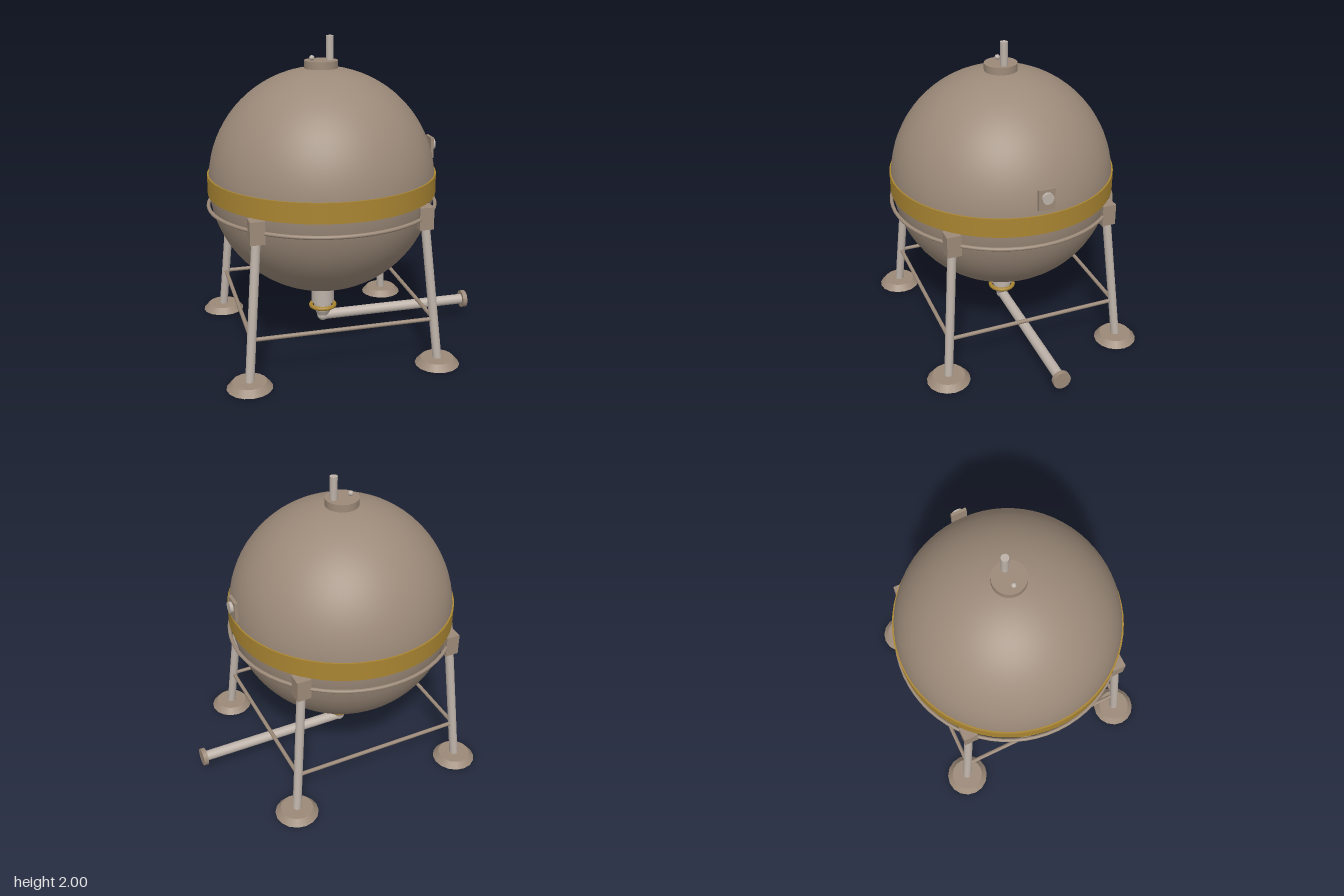
import * as THREE from 'three';

export function createModel() {
  const model = new THREE.Group();
  model.name = 'sphericalTank';

  const paint = (name, hex) => {
    const m = new THREE.MeshStandardMaterial({ color: hex });
    m.name = name;
    return m;
  };
  const shell = paint('warm grey shell', 0x9c8a79);
  const gold = paint('ochre trim', 0xa98532);
  const steel = paint('pale steel', 0xbdb2a9);

  const CX = -0.145; // tank axis

  const add = (name, geometry, material, x, y, z) => {
    const mesh = new THREE.Mesh(geometry, material);
    mesh.name = name;
    mesh.position.set(x, y, z);
    model.add(mesh);
    return mesh;
  };

  // Straight round bar between two points
  const bar = (name, a, b, radius, material, sides = 14) => {
    const dir = b.clone().sub(a);
    const geometry = new THREE.CylinderGeometry(radius, radius, dir.length(), sides);
    const mid = a.clone().add(b).multiplyScalar(0.5);
    const mesh = add(name, geometry, material, mid.x, mid.y, mid.z);
    mesh.quaternion.setFromUnitVectors(new THREE.Vector3(0, 1, 0), dir.normalize());
    return mesh;
  };
  const v = (x, y, z) => new THREE.Vector3(x, y, z);

  // Tank body, painted band and support ring
  add('tank', new THREE.SphereGeometry(0.72, 64, 40), shell, CX, 1.09, 0);
  add('band', new THREE.CylinderGeometry(0.728, 0.728, 0.125, 64), gold, CX, 1.088, 0);
  add('supportRing', new THREE.TorusGeometry(0.727, 0.012, 10, 64), shell, CX, 0.945, 0)
    .rotation.x = Math.PI / 2;

  // Four splayed legs with brackets and feet
  const corners = [[1, 1], [1, -1], [-1, -1], [-1, 1]];
  for (const [sx, sz] of corners) {
    const at = (d, y) => v(CX + sx * d, y, sz * d);
    add('bracket', new THREE.BoxGeometry(0.09, 0.14, 0.09), shell, CX + sx * 0.515, 0.95, sz * 0.515);
    bar('leg', at(0.515, 0.95), at(0.595, 0.03), 0.028, steel);
    add('foot', new THREE.CylinderGeometry(0.105, 0.14, 0.04, 16), shell, CX + sx * 0.595, 0.02, sz * 0.595);
  }

  // Cross braces joining neighbouring legs
  corners.forEach(([sx, sz], i) => {
    const [nx, nz] = corners[(i + 1) % 4];
    const d = 0.572;
    bar('crossBrace', v(CX + sx * d, 0.295, sz * d), v(CX + nx * d, 0.295, nz * d), 0.013, shell, 10);
  });

  // Bottom outlet: neck, gold collar, tapered elbow and drain pipe
  add('outletNeck', new THREE.CylinderGeometry(0.075, 0.075, 0.18, 28), steel, CX, 0.33, 0);
  add('outletSpigot', new THREE.CylinderGeometry(0.06, 0.06, 0.06, 24), steel, CX, 0.215, 0);
  add('outletCollar', new THREE.TorusGeometry(0.079, 0.014, 10, 32), gold, CX, 0.212, 0)
    .rotation.x = Math.PI / 2;
  add('outletTaper', new THREE.CylinderGeometry(0.06, 0.036, 0.05, 24), steel, CX, 0.165, 0);
  add('elbow', new THREE.SphereGeometry(0.039, 20, 14), steel, CX, 0.138, 0);
  bar('drainPipe', v(CX, 0.138, 0), v(0.855, 0.138, 0), 0.034, steel, 20);
  bar('pipeFlange', v(0.85, 0.138, 0), v(0.88, 0.138, 0), 0.058, shell, 24);

  // Top hatch with vent pipe and small knob
  add('hatch', new THREE.CylinderGeometry(0.105, 0.105, 0.08, 32), shell, CX, 1.81, 0);
  add('ventPipe', new THREE.CylinderGeometry(0.024, 0.024, 0.16, 12), steel, -0.088, 1.92, 0);
  add('hatchKnob', new THREE.SphereGeometry(0.017, 14, 10), steel, -0.203, 1.865, 0);

  // Gauge on the left side
  add('gaugePlate', new THREE.BoxGeometry(0.02, 0.135, 0.105), shell, 0.585, 1.258, 0);
  bar('gaugeDial', v(0.59, 1.272, 0), v(0.615, 1.272, 0), 0.036, steel, 20);

  return model;
}
